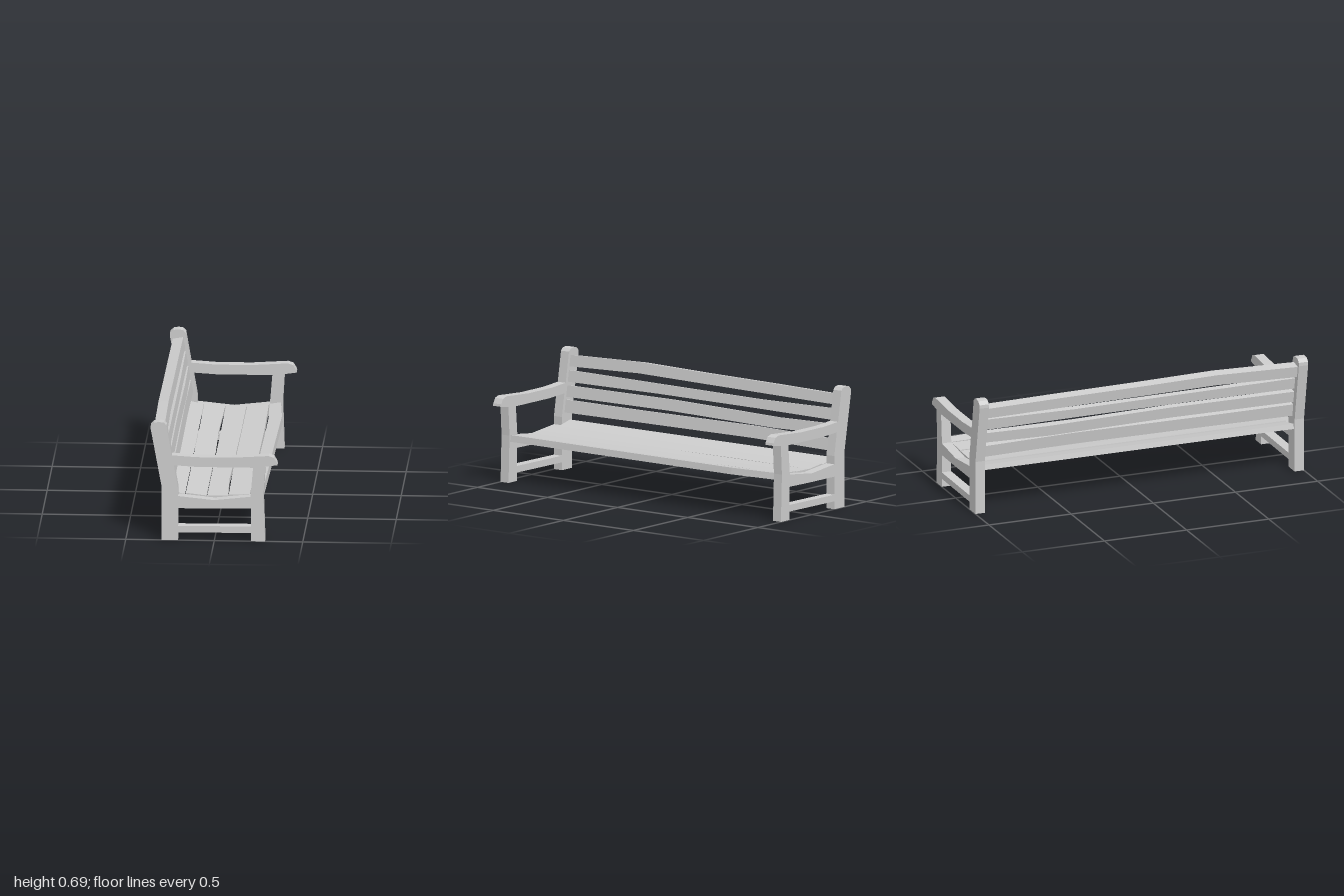
import * as THREE from 'three';

const material = new THREE.MeshStandardMaterial({ color: 0xcccccc, flatShading: true });
const FRAME = 0.057; // thickness of each end frame
const END = 1 - FRAME; // where the boards meet the frames

const points = (list) => list.map(([x, y]) => new THREE.Vector2(x, y));

// Hand-hewn board: stations [z, ax, ay, bx, by] give the two edges of its face.
function board(name, thickness, stations) {
  const pos = [], index = [];
  stations.forEach(([z, ax, ay, bx, by], s) => {
    const len = Math.hypot(bx - ax, by - ay);
    const nx = (-(by - ay) / len) * thickness, ny = ((bx - ax) / len) * thickness;
    pos.push(ax, ay, z, bx, by, z, bx - nx, by - ny, z, ax - nx, ay - ny, z);
    if (s === 0) return;
    for (let i = 0; i < 4; i++) {
      const j = (i + 1) % 4, p = 4 * (s - 1), q = 4 * s;
      index.push(p + i, q + i, q + j, p + i, q + j, p + j);
    }
  });
  const e = 4 * (stations.length - 1);
  index.push(0, 1, 2, 0, 2, 3, e + 3, e + 2, e + 1, e + 3, e + 1, e);
  const indexed = new THREE.BufferGeometry();
  indexed.setAttribute('position', new THREE.Float32BufferAttribute(pos, 3));
  indexed.setIndex(index);
  const geometry = indexed.toNonIndexed();
  geometry.computeVertexNormals();
  const mesh = new THREE.Mesh(geometry, material);
  mesh.name = name;
  return mesh;
}

// End frame: legs, back post, armrest, seat rail and stretcher in one profile
function endFrameGeometry() {
  const shape = new THREE.Shape(points([
    [-0.297, 0], [-0.205, 0], [-0.205, 0.045], [0.207, 0.048], [0.207, 0], [0.287, 0],
    [0.278, 0.27], [0.288, 0.437], [0.357, 0.447], [0.354, 0.461], [0.337, 0.49], [0.307, 0.5],
    [0.1, 0.487], [-0.1, 0.487], [-0.24, 0.496], [-0.27, 0.67], [-0.285, 0.686],
    [-0.312, 0.69], [-0.34, 0.686], [-0.359, 0.668], [-0.359, 0.648], [-0.297, 0.31],
  ]));
  // opening under the armrest, then the one above the stretcher
  shape.holes.push(new THREE.Path(points([
    [-0.205, 0.258], [-0.205, 0.305], [-0.228, 0.438], [-0.1, 0.43],
    [0.1, 0.43], [0.219, 0.43], [0.205, 0.26], [0, 0.237],
  ])));
  shape.holes.push(new THREE.Path(points([
    [-0.205, 0.083], [-0.205, 0.187], [0, 0.187], [0.207, 0.19], [0.207, 0.086],
  ])));
  return new THREE.ExtrudeGeometry(shape, { depth: FRAME, bevelEnabled: false });
}

export function createModel() {
  const bench = new THREE.Group();
  bench.name = 'gardenBench';

  const frameGeometry = endFrameGeometry();
  for (const [name, z] of [['nearEndFrame', END], ['farEndFrame', -1]]) {
    const frame = new THREE.Mesh(frameGeometry, material);
    frame.name = name;
    frame.position.z = z;
    bench.add(frame);
  }

  // Back slats: [z, top y, bottom y], lying on the reclined back plane
  const backX = (y) => -0.234 - 0.175 * (y - 0.36);
  const backSlats = [
    ['topBackRail', 0.06, [[-END, 0.645, 0.585], [-0.5, 0.652, 0.59], [0, 0.657, 0.596], [0.45, 0.665, 0.602], [END, 0.65, 0.586]]],
    ['upperBackSlat', 0.035, [[-END, 0.563, 0.498], [-0.4, 0.555, 0.503], [0.3, 0.56, 0.505], [END, 0.565, 0.5]]],
    ['middleBackSlat', 0.035, [[-END, 0.477, 0.418], [-0.55, 0.47, 0.408], [0.2, 0.484, 0.42], [END, 0.48, 0.416]]],
    ['lowerBackSlat', 0.035, [[-END, 0.395, 0.327], [-0.4, 0.405, 0.336], [0.4, 0.4, 0.332], [END, 0.4, 0.328]]],
  ];
  for (const [name, thickness, rows] of backSlats) {
    bench.add(board(name, thickness, rows.map(([z, top, low]) => [z, backX(top), top, backX(low), low])));
  }

  // Seat slats: edge heights, then [z, back edge x, front edge x]
  const seatSlats = [
    ['rearSeatSlat', 0.03, 0.28, 0.255, [[-END, -0.28, -0.168], [0, -0.28, -0.167], [END, -0.28, -0.168]]],
    ['secondSeatSlat', 0.03, 0.262, 0.248, [[-END, -0.164, -0.046], [-0.4, -0.163, -0.053], [0, -0.164, -0.046], [END, -0.164, -0.047]]],
    ['thirdSeatSlat', 0.03, 0.249, 0.251, [[-END, -0.043, 0.074], [-0.4, -0.041, 0.074], [0.2, -0.042, 0.07], [0.6, -0.043, 0.064], [END, -0.043, 0.074]]],
    ['fourthSeatSlat', 0.03, 0.254, 0.26, [[-END, 0.078, 0.2], [-0.4, 0.077, 0.205], [0.4, 0.074, 0.2], [END, 0.078, 0.198]]],
    ['frontSeatSlat', 0.038, 0.262, 0.272, [[-END, 0.203, 0.268], [-0.65, 0.215, 0.29], [-0.2, 0.212, 0.283], [0.4, 0.206, 0.276], [END, 0.203, 0.267]]],
  ];
  for (const [name, thickness, back, front, rows] of seatSlats) {
    bench.add(board(name, thickness, rows.map(([z, x0, x1]) => [z, x0, back, x1, front])));
  }
  return bench;
}
